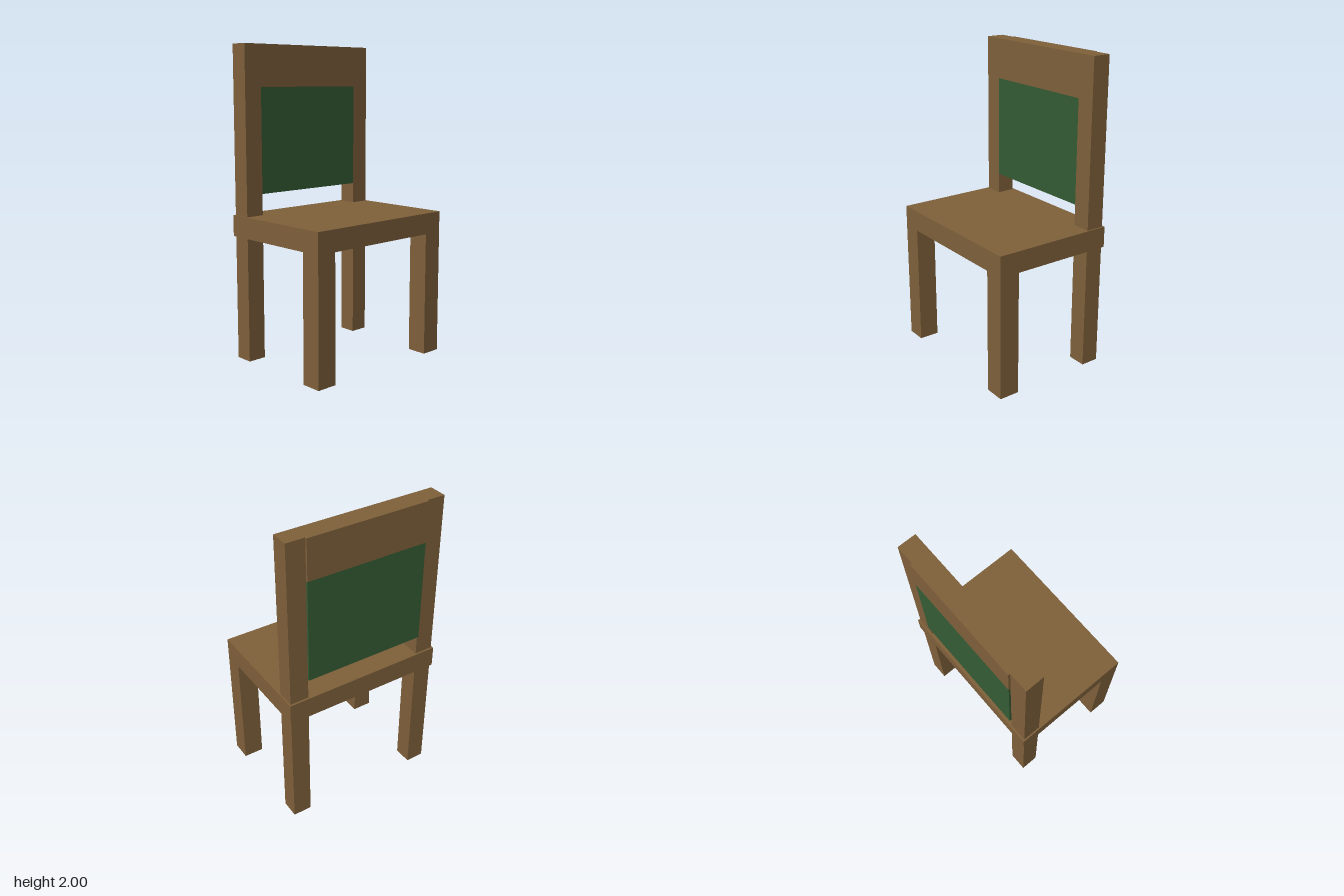
import * as THREE from 'three';

export function createModel() {
  const chair = new THREE.Group();
  chair.name = 'chair';
  const wood = new THREE.MeshStandardMaterial({ color: 0x80613b, side: THREE.DoubleSide });
  wood.name = 'brown wood';
  const fabric = new THREE.MeshStandardMaterial({ color: 0x355d35, side: THREE.DoubleSide });
  fabric.name = 'green panel';

  // box given by its extents along each axis
  function addBox(name, material, [x0, x1], [y0, y1], [z0, z1], openBottom = false) {
    const geometry = new THREE.BoxGeometry(x1 - x0, y1 - y0, z1 - z0);
    if (openBottom) {
      // leave out the downward face, the fourth of six
      const index = Array.from(geometry.index.array);
      index.splice(18, 6);
      geometry.setIndex(index);
      geometry.clearGroups();
    }
    const mesh = new THREE.Mesh(geometry, material);
    mesh.name = name;
    mesh.position.set((x0 + x1) / 2, (y0 + y1) / 2, (z0 + z1) / 2);
    chair.add(mesh);
  }

  addBox('seat', wood, [-0.532, 0.532], [0.8, 0.935], [-0.4, 0.4]);

  // hollow front legs, and rear posts that run up to the backrest
  for (const [side, s] of [['left', 1], ['right', -1]]) {
    const span = (a, b) => (s > 0 ? [a, b] : [-b, -a]);
    addBox(side + 'FrontLeg', wood, span(0.4, 0.532), [0, 0.8], [0.268, 0.4], true);
    addBox(side + 'RearPost', wood, span(0.4, 0.522), [0, 2], [-0.387, -0.268], true);
  }

  // backrest: wooden rail over a green panel
  addBox('backTopRail', wood, [-0.4, 0.4], [1.737, 2], [-0.4, -0.268]);
  addBox('backPanel', fabric, [-0.4, 0.4], [1.07, 1.737], [-0.4, -0.268]);

  return chair;
}
